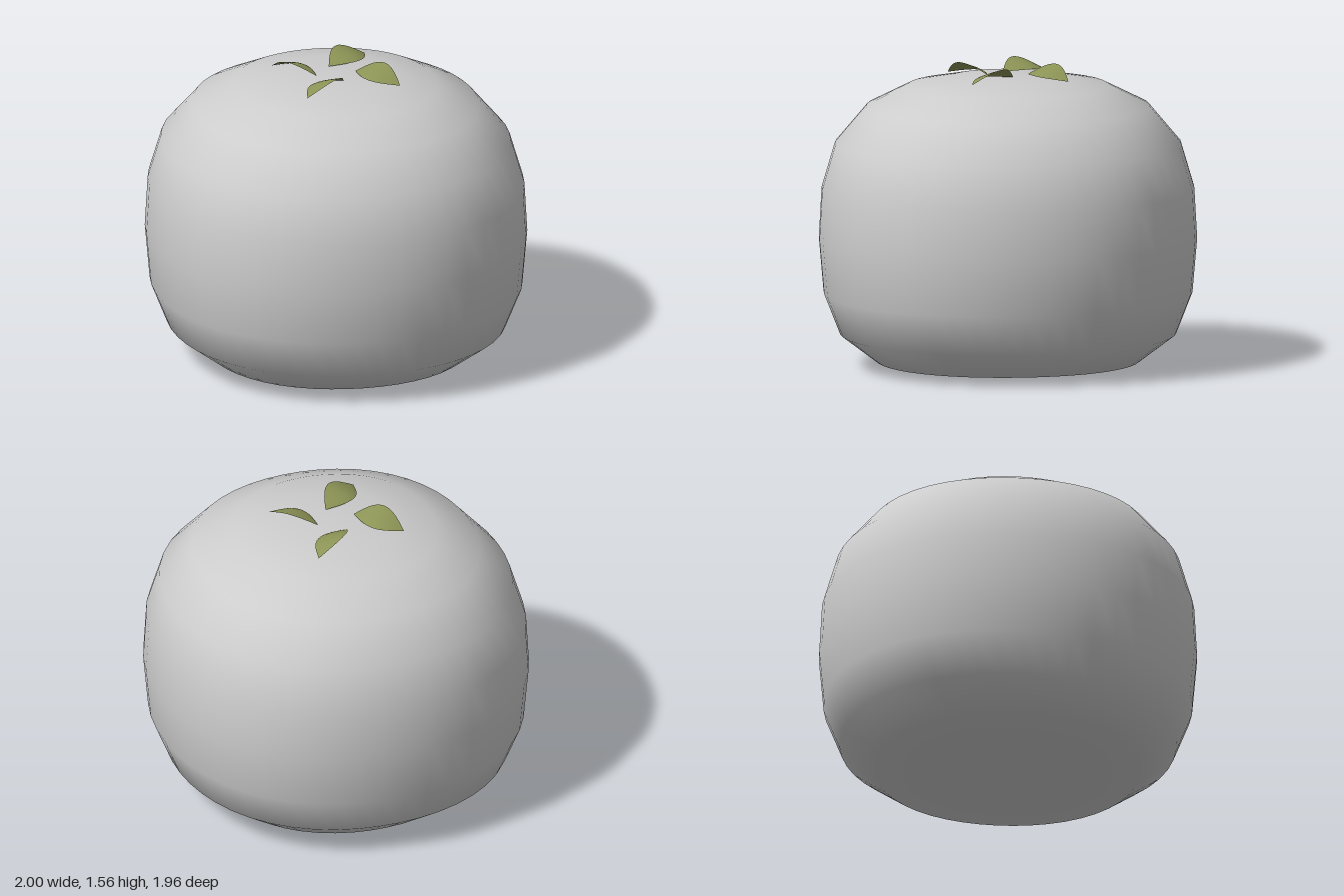
import * as THREE from 'three';
import { mergeVertices } from 'three/addons/utils/BufferGeometryUtils.js';

// Body profile, radius and height, from the base to the crown
const PROFILE = [
  [0, 0], [0.38, 0.005], [0.70, 0.03], [0.89, 0.17], [0.975, 0.38], [1.0, 0.66],
  [0.985, 0.92], [0.915, 1.15], [0.75, 1.34], [0.53, 1.447], [0.3, 1.49], [0, 1.503],
];

function bodyGeometry() {
  const lathe = new THREE.LatheGeometry(PROFILE.map(([r, y]) => new THREE.Vector2(r, y)), 48);
  const pos = lathe.attributes.position;
  // Slightly four-sided outline
  for (let i = 0; i < pos.count; i++) {
    const x = pos.getX(i), z = pos.getZ(i);
    const a = Math.atan2(z, x);
    const k = 0.98 + 0.01 * Math.cos(2 * a) + 0.01 * Math.cos(4 * a);
    pos.setX(i, x * k);
    pos.setZ(i, z * k);
  }
  lathe.deleteAttribute('uv');
  lathe.deleteAttribute('normal');
  const geometry = mergeVertices(lathe, 1e-4);
  geometry.computeVertexNormals();
  return geometry;
}

// Arched pointed leaf lying along +x, with its -z edge raised
function leafGeometry() {
  const geometry = new THREE.PlaneGeometry(1, 1, 14, 6);
  const pos = geometry.attributes.position;
  for (let i = 0; i < pos.count; i++) {
    const u = pos.getX(i) + 0.5;
    const v = pos.getY(i) + 0.5; // 0 = low edge, 1 = raised edge
    const w = Math.sin(Math.PI * u);
    const x = 0.064 + 0.291 * u;
    const z = -0.085 + 0.032 * u + w * (0.08 - 0.144 * v);
    const y = 1.502 - 0.012 * u + w * (0.012 + 0.053 * Math.pow(v, 0.8));
    pos.setXYZ(i, x, y, z);
  }
  geometry.computeVertexNormals();
  return geometry;
}

export function createModel() {
  const model = new THREE.Group();
  model.name = 'fruit';

  const skin = new THREE.MeshStandardMaterial({ color: 0xcccccc });
  skin.name = 'grey skin';
  const green = new THREE.MeshStandardMaterial({ color: 0x8c9355, side: THREE.DoubleSide });
  green.name = 'leaf green';

  const body = new THREE.Mesh(bodyGeometry(), skin);
  body.name = 'body';
  model.add(body);

  // Four leaves turned around the crown
  const calyx = new THREE.Group();
  calyx.name = 'calyx';
  const leafShape = leafGeometry();
  for (let i = 0; i < 4; i++) {
    const leaf = new THREE.Mesh(leafShape, green);
    leaf.name = 'leaf' + (i + 1);
    leaf.rotation.y = i * Math.PI / 2;
    calyx.add(leaf);
  }
  model.add(calyx);
  return model;
}
